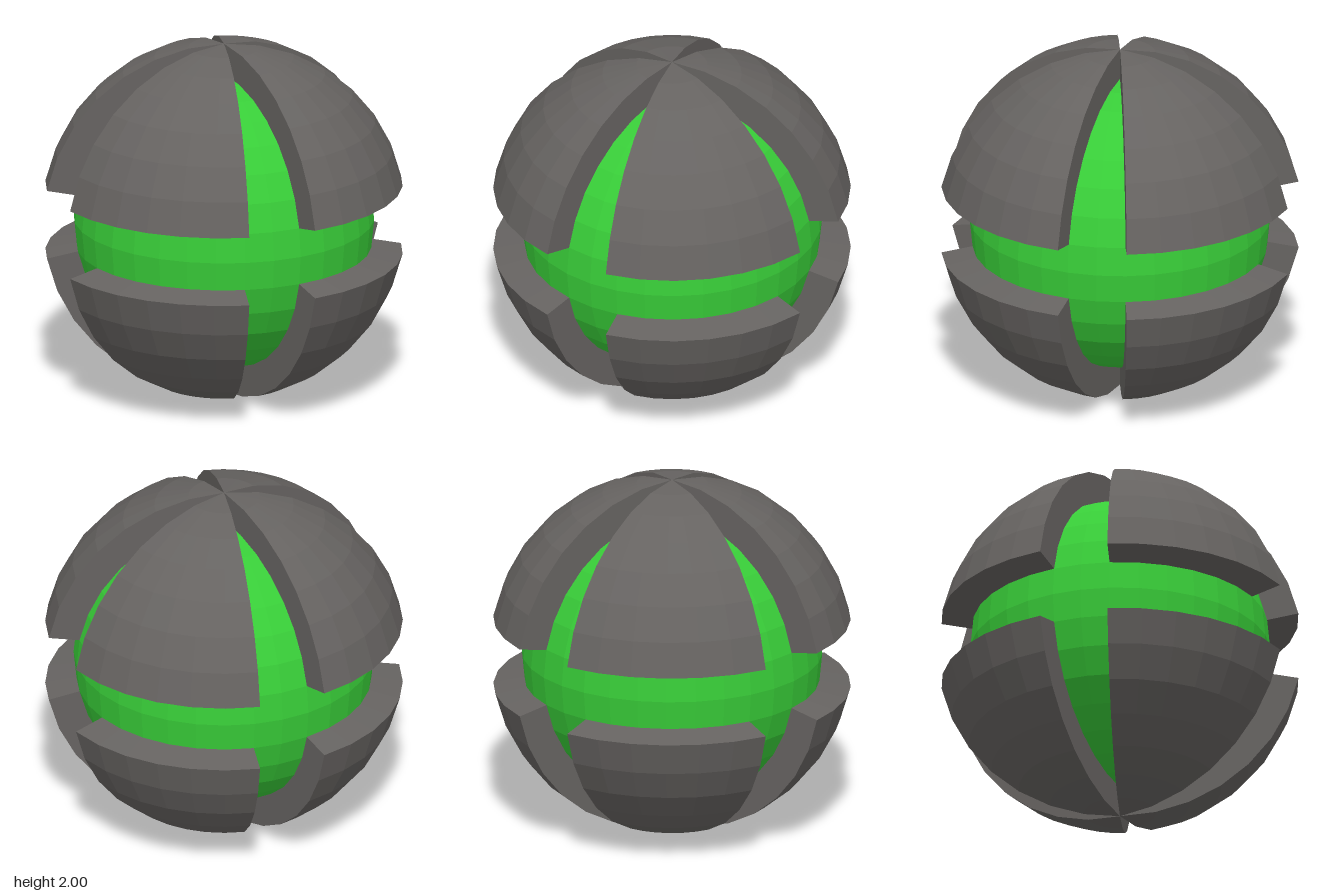
import * as THREE from 'three';

const STEP = Math.PI / 16; // one facet of the 32 x 16 sphere grid
const OUTER = 1;
const INNER = 0.825;

const plateMaterial = new THREE.MeshStandardMaterial({ color: 0x666361, flatShading: true, side: THREE.DoubleSide });
const coreMaterial = new THREE.MeshStandardMaterial({ color: 0x38cc38, flatShading: true });

// Arc in the (radius, height) plane, from one facet above the equator to the pole
function arc(radius) {
  const points = [];
  for (let i = 1; i <= 8; i++) {
    points.push(new THREE.Vector2(i === 8 ? 0 : radius * Math.cos(i * STEP), radius * Math.sin(i * STEP)));
  }
  return points;
}

// Armour plate: outer skin with lower ledge, plus a flat wall on each side
function createPlate() {
  const plate = new THREE.Group();
  const outer = arc(OUTER);
  const inner = arc(INNER);

  const skin = new THREE.Mesh(new THREE.LatheGeometry([inner[0], ...outer], 6, STEP, 6 * STEP), plateMaterial);
  skin.name = 'plateSkin';
  plate.add(skin);

  const wallGeometry = new THREE.ShapeGeometry(new THREE.Shape([...outer, ...inner.reverse()]));
  for (const angle of [STEP, 7 * STEP]) {
    const wall = new THREE.Mesh(wallGeometry, plateMaterial);
    wall.name = 'plateSideWall';
    wall.rotation.y = angle - Math.PI / 2;
    plate.add(wall);
  }
  return plate;
}

// Four plates around the vertical axis
function createHemisphere(name) {
  const hemisphere = new THREE.Group();
  hemisphere.name = name;
  for (let i = 0; i < 4; i++) {
    const plate = createPlate();
    plate.name = 'plate' + (i + 1);
    plate.rotation.y = i * Math.PI / 2;
    hemisphere.add(plate);
  }
  return hemisphere;
}

export function createModel() {
  const model = new THREE.Group();
  model.name = 'platedSphere';

  const core = new THREE.Mesh(new THREE.SphereGeometry(INNER, 32, 16), coreMaterial);
  core.name = 'core';
  core.position.y = OUTER;
  model.add(core);

  const upper = createHemisphere('upperPlates');
  const lower = createHemisphere('lowerPlates');
  upper.position.y = OUTER;
  lower.position.y = OUTER;
  lower.rotation.x = Math.PI;
  model.add(upper, lower);

  return model;
}
